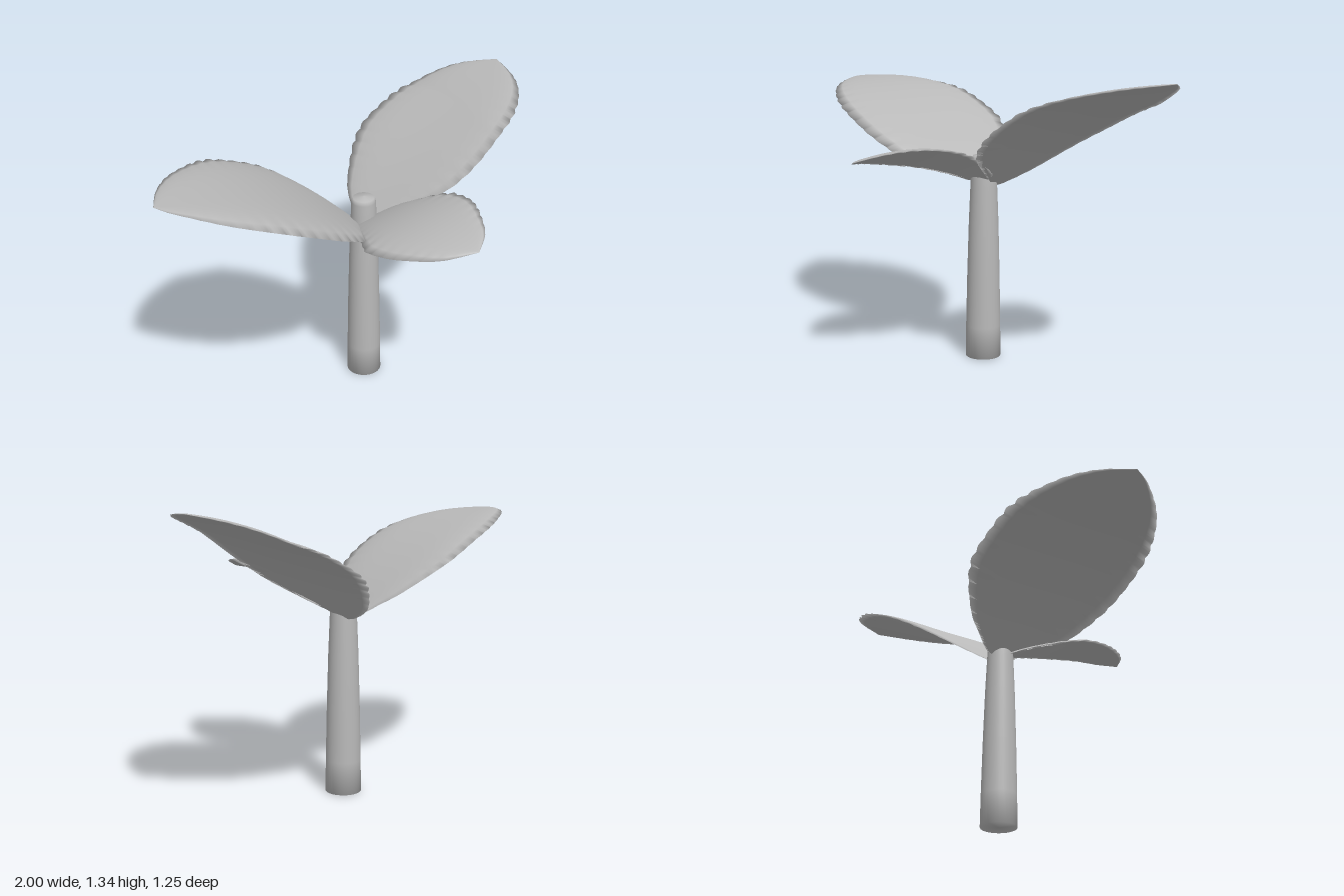
import * as THREE from 'three';

const grey = new THREE.MeshStandardMaterial({ color: 0xb8b8b8 });
grey.name = 'plain grey';

const curve = (pts) => new THREE.SplineCurve(pts.map(([x, z]) => new THREE.Vector2(x, z)));

// A thin closed leaf spans two plan outlines [x, z] from base to tip; height(x, z) lifts it.
// Each cross-section is a flat lens: upper side from edge A to B, lower side back again.
// The rim carries small, uneven teeth along the middle.
function leaf(name, edgeA, edgeB, height, droop, teeth) {
  const rows = teeth * 5, cols = 14, ring = cols * 2;
  const a = curve(edgeA), b = curve(edgeB);
  const pos = [], index = [];
  for (let i = 0; i <= rows; i++) {
    const t = i / rows;
    const pa = a.getPointAt(t), pb = b.getPointAt(t);
    const fade = Math.sin(Math.PI * t);
    for (let j = 0; j < ring; j++) {
      const upper = j <= cols;
      const s = ((upper ? j : ring - j) / cols) * 2 - 1;
      const rim = Math.abs(s) ** 6;
      const phase = t * teeth * Math.PI + (s > 0 ? 0.8 : 0);
      const tooth = Math.abs(Math.sin(phase)) * (0.7 + 0.3 * Math.sin(phase * 0.37)) - 0.5;
      const k = 0.5 + 0.5 * s * (1 + 0.04 * tooth * fade * rim);
      const x = pa.x + (pb.x - pa.x) * k;
      const z = pa.y + (pb.y - pa.y) * k;
      const half = 0.011 * Math.sqrt(fade) * (1 - s ** 4);
      const y = height(x, z) - rim * fade * (droop - 0.006 * tooth) + (upper ? half : -half);
      pos.push(x, y, z);
      if (i < rows) {
        const p = i * ring + j, p1 = i * ring + (j + 1) % ring;
        index.push(p, p1, p + ring, p1, p1 + ring, p + ring);
      }
    }
  }
  const g = new THREE.BufferGeometry();
  g.setAttribute('position', new THREE.Float32BufferAttribute(pos, 3));
  g.setIndex(index);
  g.computeVertexNormals();
  const mesh = new THREE.Mesh(g, grey);
  mesh.name = name;
  return mesh;
}

export function createModel() {
  const group = new THREE.Group();
  group.name = 'sprout';

  // Tapered stem with softly shaded ends
  const profile = [
    [0, 0], [0.083, 0], [0.081, 0.15], [0.076, 0.4], [0.069, 0.65],
    [0.062, 0.82], [0.057, 0.94], [0.05, 0.96], [0, 0.968],
  ].map(([r, y]) => new THREE.Vector2(r, y));
  const stem = new THREE.Mesh(new THREE.LatheGeometry(profile, 32), grey);
  stem.name = 'stem';
  stem.position.set(0.042, 0, -0.098);
  group.add(stem);

  // Large leaf rising to +x, twisted near its base
  group.add(leaf('leftLeaf',
    [[0.06, -0.13], [0.06, -0.22], [0.1, -0.35], [0.2, -0.48], [0.32, -0.58], [0.45, -0.612],
      [0.6, -0.62], [0.75, -0.59], [0.88, -0.52], [1, -0.4]],
    [[0.06, -0.13], [0.12, -0.08], [0.2, 0], [0.33, 0.115], [0.46, 0.15], [0.6, 0.13],
      [0.75, 0.06], [0.87, -0.05], [0.95, -0.2], [1, -0.4]],
    (x, z) => {
      const d = x - 0.06;
      const twist = 0.26 * Math.max(0, 1 - x / 0.65);
      return 0.83 + 0.905 * d - 0.385 * d * d - twist * (z + 0.2);
    },
    0.01, 20));

  // Large leaf rising to -x
  group.add(leaf('rightLeaf',
    [[0.025, -0.12], [0, -0.07], [-0.06, 0.07], [-0.12, 0.19], [-0.3, 0.31], [-0.48, 0.35],
      [-0.65, 0.33], [-0.8, 0.26], [-0.94, 0.13], [-1, 0.04]],
    [[0.025, -0.12], [0.01, -0.18], [-0.05, -0.25], [-0.12, -0.32], [-0.25, -0.39], [-0.38, -0.41],
      [-0.6, -0.36], [-0.8, -0.24], [-0.93, -0.1], [-1, 0.04]],
    (x, z) => { const d = 0.02 - x; return 0.822 + 0.89 * d - 0.447 * d * d - 0.04 * z; },
    0.015, 20));

  // Small, sideways tilted leaf at the front
  group.add(leaf('frontLeaf',
    [[0.05, -0.1], [0.18, -0.06], [0.25, 0.02], [0.33, 0.15], [0.35, 0.24], [0.345, 0.33],
      [0.3, 0.45], [0.25, 0.55], [0.17, 0.62]],
    [[0.05, -0.1], [-0.03, -0.06], [-0.08, 0.05], [-0.14, 0.2], [-0.16, 0.27], [-0.13, 0.38],
      [-0.06, 0.48], [0.03, 0.56], [0.17, 0.62]],
    (x, z) => { const e = z + 0.08; return 0.862 + 0.26 * (x - 0.1) + 0.563 * e - 0.57 * e * e; },
    0.008, 16));

  return group;
}
